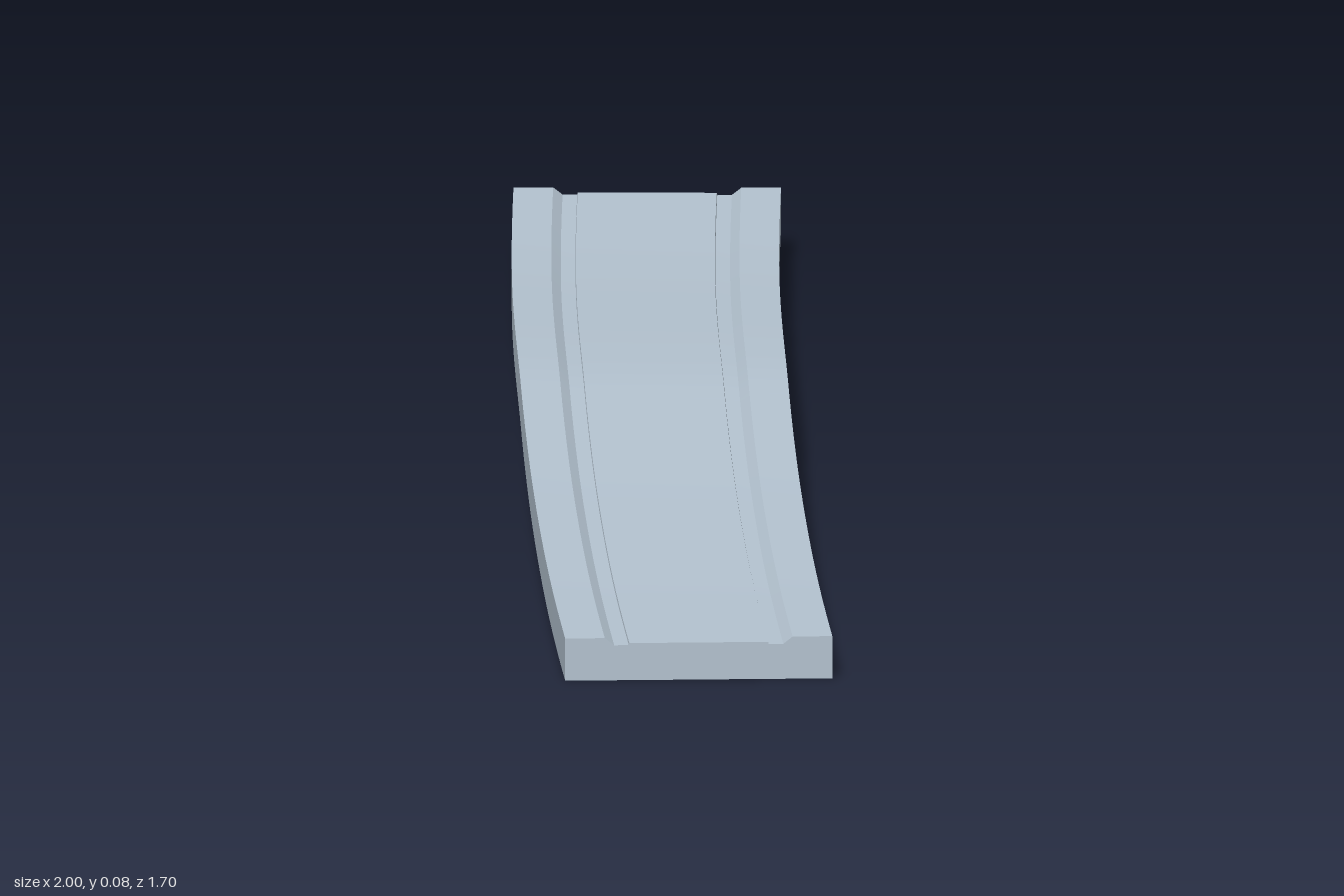
import * as THREE from 'three';

const STEPS = 48;
const CHORD = 2.373, SAG = 0.018;

// Height of the underside along the length
const rise = new THREE.SplineCurve([
  [0, 0], [0.1, 0.002], [0.2, 0.007], [0.33, 0.018], [0.45, 0.033], [0.51, 0.041], [0.57, 0.041],
  [0.66, 0.034], [0.76, 0.024], [0.86, 0.018], [1, 0.018],
].map(([x, y]) => new THREE.Vector2(x, y)));

// Point at station t, lateral offset u, height v above the underside
function place(t, u, v) {
  const h = rise.getPoint(t);
  const s = h.x;
  const heading = 0.687 - (s - 0.5) * 8 * SAG / CHORD;
  const bow = SAG * 4 * s * (1 - s);
  const x = 0.0025 + (s - 0.5) * 1.835 - 0.634 * bow;
  const z = 0.0025 - (s - 0.5) * 1.505 - 0.773 * bow;
  return [x + Math.sin(heading) * u, h.y + v, z + Math.cos(heading) * u];
}

// Surface swept along the route between two cross-section points
function strip(name, a, b, material) {
  const pos = [], index = [];
  for (let i = 0; i <= STEPS; i++) {
    pos.push(...place(i / STEPS, ...a), ...place(i / STEPS, ...b));
    if (i < STEPS) {
      const k = i * 2;
      index.push(k, k + 1, k + 2, k + 1, k + 3, k + 2);
    }
  }
  const g = new THREE.BufferGeometry();
  g.setAttribute('position', new THREE.Float32BufferAttribute(pos, 3));
  g.setIndex(index);
  g.computeVertexNormals();
  const mesh = new THREE.Mesh(g, material);
  mesh.name = name;
  return mesh;
}

// Flat cap closing one end
function cap(name, section, t, material) {
  const g = new THREE.ShapeGeometry(new THREE.Shape(section.map(([u, v]) => new THREE.Vector2(u, v))));
  const p = g.attributes.position;
  for (let i = 0; i < p.count; i++) p.setXYZ(i, ...place(t, p.getX(i), p.getY(i)));
  if (t === 1) g.index.array.reverse();
  g.computeVertexNormals();
  const mesh = new THREE.Mesh(g, material);
  mesh.name = name;
  return mesh;
}

export function createModel() {
  const group = new THREE.Group();
  group.name = 'roadSection';
  const concrete = new THREE.MeshStandardMaterial({ color: 0xb4c3d0 });
  concrete.name = 'blueGreyConcrete';

  // Half section from outer edge inwards: pavement, kerb, gutter, road lip
  const half = [[-0.128, 0.041], [-0.09, 0.041], [-0.081, 0.034], [-0.067, 0.034], [-0.0665, 0.036]];
  const mirrored = half.map(([u, v]) => [-u, v]).reverse();
  const section = [...half, ...mirrored, [0.128, 0], [-0.128, 0]];
  const names = ['rightPavement', 'rightKerb', 'rightGutter', 'rightRoadLip', 'roadway',
    'leftRoadLip', 'leftGutter', 'leftKerb', 'leftPavement', 'leftSide', 'underside', 'rightSide'];
  names.forEach((name, i) =>
    group.add(strip(name, section[i], section[(i + 1) % section.length], concrete)));

  group.add(cap('startCap', section, 0, concrete), cap('endCap', section, 1, concrete));
  return group;
}
